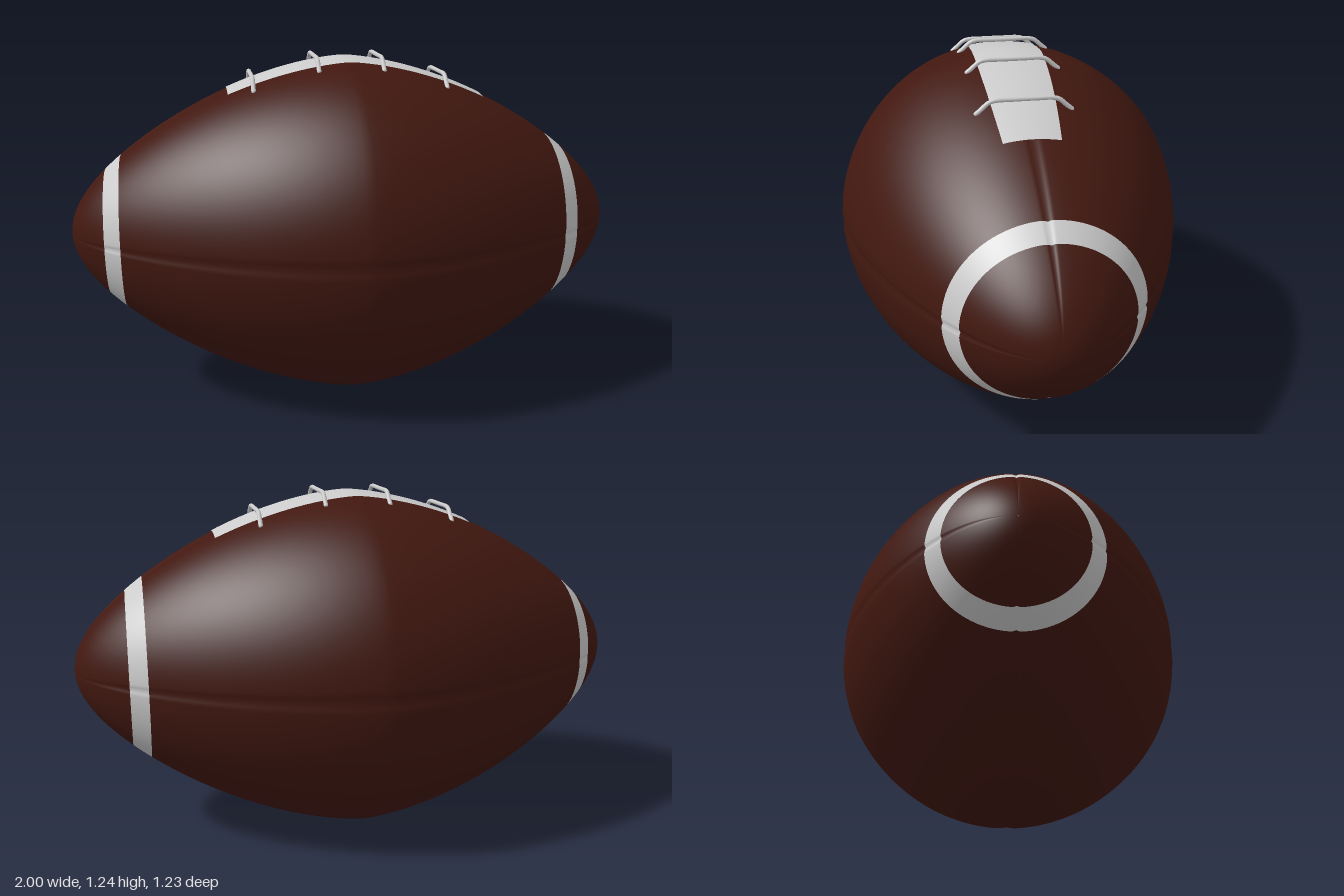
import * as THREE from 'three';
import { ParametricGeometry } from 'three/addons/geometries/ParametricGeometry.js';

const CENTER_Y = 0.618;
const leather = new THREE.MeshStandardMaterial({ color: 0x421810 });
const white = new THREE.MeshStandardMaterial({ color: 0xcccccc });
const whiteThin = new THREE.MeshStandardMaterial({ color: 0xcccccc, side: THREE.DoubleSide });

// radius of the ball at x along its long axis
function radiusAt(x) {
  const soft = (x * x) / (Math.abs(x) + 0.03);
  return Math.sqrt(Math.max(0, 1 - x * x)) * (0.615 - 0.09 * soft - 0.1 * x * x);
}

// shallow groove along the four panel seams
function seamDepth(angle) {
  const quarter = Math.PI / 2;
  const d = angle - Math.round(angle / quarter) * quarter;
  return 0.005 * Math.exp(-((d / 0.028) ** 2));
}

// patch of the ball's skin between two x positions and two angles from the top
function skin(name, x0, x1, a0, a1, lift, grooved, nx, na, material) {
  const t0 = Math.asin(x0), t1 = Math.asin(x1);
  const geometry = new ParametricGeometry((u, v, p) => {
    const x = Math.sin(t0 + (t1 - t0) * u);
    const a = a0 + (a1 - a0) * v;
    const base = radiusAt(x);
    const r = base + lift - (grooved ? seamDepth(a) * Math.min(1, base * 4) : 0);
    p.set(x, r * Math.cos(a), -r * Math.sin(a));
  }, nx, na);
  const mesh = new THREE.Mesh(geometry, material);
  mesh.name = name;
  return mesh;
}

// one cross lace: both ends dip onto the leather, the middle bridges the panel
function lace(x) {
  const r = radiusAt(x);
  const onSkin = (z, lift) => new THREE.Vector3(x, Math.sqrt(r * r - z * z) + lift, z);
  const half = [onSkin(0.158, 0), onSkin(0.142, 0.009), onSkin(0.116, 0.025), onSkin(0.095, 0.027), onSkin(0.04, 0.021)];
  const other = half.map((p) => new THREE.Vector3(p.x, p.y, -p.z)).reverse();
  const curve = new THREE.CatmullRomCurve3([...half, ...other]);
  const group = new THREE.Group();
  group.name = 'lace';
  const cord = new THREE.Mesh(new THREE.TubeGeometry(curve, 48, 0.008, 8), white);
  cord.name = 'laceCord';
  group.add(cord);
  for (const end of [half[0], other[other.length - 1]]) {
    const tip = new THREE.Mesh(new THREE.SphereGeometry(0.008, 8, 6), white);
    tip.name = 'laceEnd';
    tip.position.copy(end);
    group.add(tip);
  }
  return group;
}

export function createModel() {
  const ball = new THREE.Group();
  ball.name = 'ball';
  const full = Math.PI * 2, tip = 0.99999;

  // leather body and end stripes, joined edge to edge
  const sections = [
    ['rightTip', -tip, -0.872, 20, leather],
    ['rightStripe', -0.872, -0.815, 4, white],
    ['body', -0.815, 0.75, 56, leather],
    ['leftStripe', 0.75, 0.812, 4, white],
    ['leftTip', 0.812, tip, 20, leather],
  ];
  for (const [name, x0, x1, nx, material] of sections) {
    ball.add(skin(name, x0, x1, 0, full, 0, true, nx, 192, material));
  }

  // lace panel and laces on top
  ball.add(skin('lacePanel', -0.43, 0.495, -0.197, 0.197, 0.004, false, 32, 12, whiteThin));
  for (const x of [-0.343, -0.115, 0.115, 0.343]) ball.add(lace(x));

  ball.position.y = CENTER_Y;
  const model = new THREE.Group();
  model.name = 'model';
  model.add(ball);
  return model;
}
